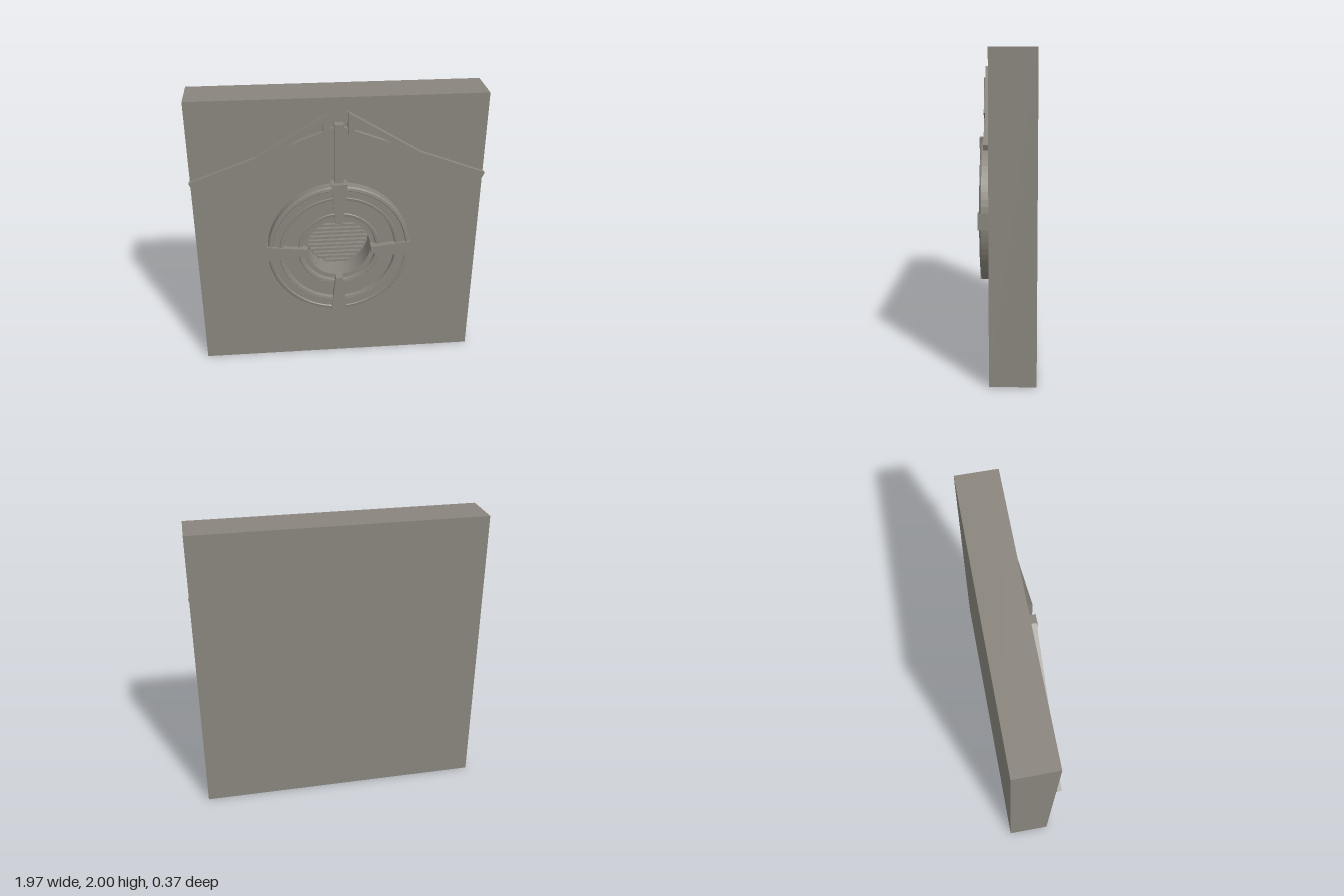
import * as THREE from 'three';

export function createModel() {
  const model = new THREE.Group();
  const stone = new THREE.MeshStandardMaterial({ color: 0x89857d });
  stone.name = 'grey stone';
  const CY = 0.915, HOLE = 0.22, FRONT = 0.1, BACK = -0.185;

  const add = (geometry, name, parent = model) => {
    const mesh = new THREE.Mesh(geometry, stone);
    mesh.name = name;
    parent.add(mesh);
    return mesh;
  };
  // Flat outline extruded between two depths
  const plate = (shape, z0, z1) => new THREE.ExtrudeGeometry(shape,
    { depth: z1 - z0, bevelEnabled: false, curveSegments: 32 }).translate(0, 0, z0);
  const outline = (points) => new THREE.Shape(points.map(([x, y]) => new THREE.Vector2(x, y)));
  const box = (x0, x1, y0, y1, z0, z1) => new THREE.BoxGeometry(x1 - x0, y1 - y0, z1 - z0)
    .translate((x0 + x1) / 2, (y0 + y1) / 2, (z0 + z1) / 2);

  // Wall block with a round opening
  const wall = outline([[-0.975, 0], [0.975, 0], [0.975, 2], [-0.975, 2]]);
  wall.holes.push(new THREE.Path().absarc(0, CY, HOLE, 0, Math.PI * 2, true));
  add(plate(wall, BACK, FRONT), 'wall');

  // Round window
  const roundWindow = new THREE.Group();
  roundWindow.name = 'roundWindow';
  roundWindow.position.y = CY;
  model.add(roundWindow);

  // Stepped surround: [radius, depth], from the outside in
  const profile = [
    [0.49, 0.1], [0.49, 0.162], [0.483, 0.172], [0.465, 0.175], [0.46, 0.168],
    [0.412, 0.168], [0.408, 0.175], [0.39, 0.172], [0.385, 0.148],
    [0.283, 0.148], [0.278, 0.155], [0.258, 0.152], [0.252, 0.13], [0.22, 0.13], [0.22, 0.095],
  ].map(([r, z]) => new THREE.Vector2(r, z)).reverse();
  const surround = new THREE.LatheGeometry(profile, 64).toNonIndexed();
  surround.rotateX(Math.PI / 2);
  // Point the faces outward
  const position = surround.attributes.position;
  const a = new THREE.Vector3(), b = new THREE.Vector3();
  for (let i = 0; i < position.count; i += 3) {
    a.fromBufferAttribute(position, i + 1);
    b.fromBufferAttribute(position, i + 2);
    position.setXYZ(i + 1, b.x, b.y, b.z);
    position.setXYZ(i + 2, a.x, a.y, a.z);
  }
  surround.computeVertexNormals();
  const volume = signedVolume(position);
  if (volume < 0) {
    for (let i = 0; i < position.count; i += 3) {
      a.fromBufferAttribute(position, i + 1);
      b.fromBufferAttribute(position, i + 2);
      position.setXYZ(i + 1, b.x, b.y, b.z);
      position.setXYZ(i + 2, a.x, a.y, a.z);
    }
    surround.computeVertexNormals();
  }
  add(surround, 'steppedSurround', roundWindow);

  // Four tapered keystones
  for (let i = 0; i < 4; i++) {
    const tip = i === 0 ? 0.51 : 0.49;
    const key = outline([[-0.025, 0.218], [0.025, 0.218], [0.055, tip], [-0.055, tip]]);
    add(plate(key, FRONT, 0.185), 'keystone', roundWindow).rotation.z = i * Math.PI / 2;
  }

  // Backing disc and louvre slats inside the opening
  add(new THREE.CylinderGeometry(HOLE, HOLE, 0.145, 64).rotateX(Math.PI / 2)
    .translate(0, 0, BACK + 0.0725), 'backingDisc', roundWindow);
  for (let i = 0; i < 13; i++) {
    const y = (i - 6) * 0.032, h = 0.009;
    const half = Math.sqrt(HOLE ** 2 - (Math.abs(y) + h) ** 2);
    add(box(-half, half, y - h, y + h, -0.045, -0.01), 'slat', roundWindow);
  }

  // Post above the window
  add(box(-0.03, 0.03, 1.42, 1.835, FRONT, 0.155), 'post');

  // Mirrored rafters and triangular braces
  for (const side of [1, -1]) {
    const mirror = (points) => outline(points.map(([x, y]) => [x * side, y]));
    const name = side > 0 ? 'left' : 'right';
    add(plate(mirror([[0.97, 1.418], [0.983, 1.45], [0.03, 1.808], [0.03, 1.771]]), FRONT, 0.13), name + 'Rafter');
    add(plate(mirror([[0.06, 1.91], [0.06, 1.863], [0.43, 1.638], [0.527, 1.602], [0.545, 1.615]]),
      FRONT, 0.14), name + 'Strut');
    add(plate(mirror([[0.515, 1.58], [0.545, 1.615], [0.105, 1.781], [0.105, 1.745]]),
      FRONT, 0.137), name + 'BraceFoot');
    add(plate(mirror([[0.06, 1.76], [0.105, 1.76], [0.105, 1.882], [0.06, 1.91]]), FRONT, 0.141), name + 'Upright');
  }
  return model;
}

// Sign tells whether a ring's triangles face outward (around its own mid circle)
function signedVolume(position) {
  const a = new THREE.Vector3(), b = new THREE.Vector3(), c = new THREE.Vector3();
  let sum = 0;
  for (let i = 0; i < position.count; i += 3) {
    a.fromBufferAttribute(position, i);
    b.fromBufferAttribute(position, i + 1);
    c.fromBufferAttribute(position, i + 2);
    // Projected area seen from the front
    sum += (b.x - a.x) * (c.y - a.y) - (b.y - a.y) * (c.x - a.x);
  }
  return sum;
}
